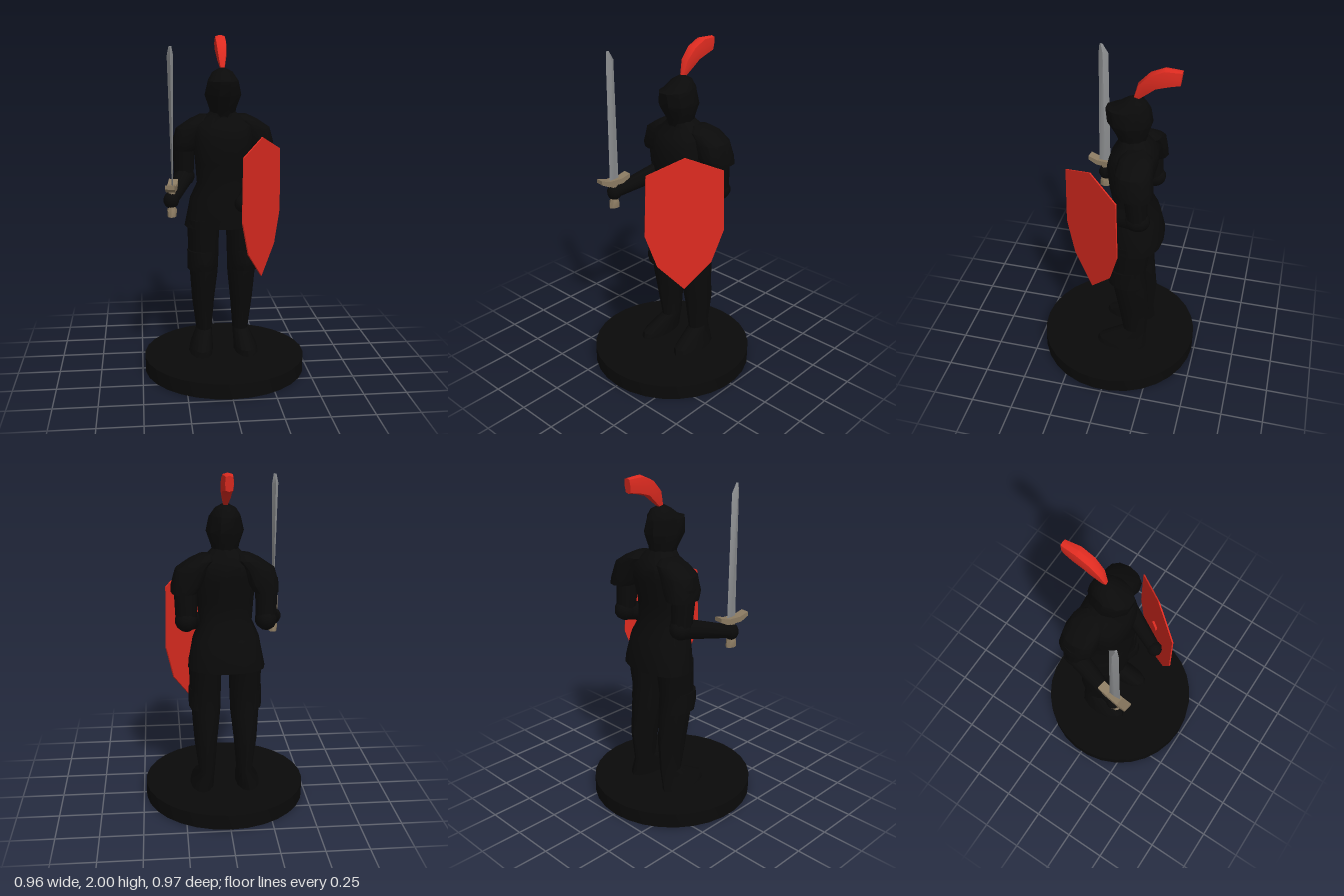
import * as THREE from 'three';
import { toCreasedNormals } from 'three/addons/utils/BufferGeometryUtils.js';

const paint = (name, color) => Object.assign(new THREE.MeshStandardMaterial({ color }), { name });

// Skin over rings given by their extents: [y, x0, x1, z0, z1, tilt]; tilt raises the z1 side.
// A power below 1 makes the rings boxier.
function loft(rings, sides = 12, power = 1) {
  const pos = [], index = [];
  const boxy = v => Math.sign(v) * Math.pow(Math.abs(v) < 1e-9 ? 0 : Math.abs(v), power);
  const add = (y, x0, x1, z0, z1, tilt, c, s) =>
    pos.push((x0 + x1) / 2 + (x1 - x0) / 2 * c, y + tilt / 2 * s, (z0 + z1) / 2 + (z1 - z0) / 2 * s);
  for (const [y, x0, x1, z0, z1, tilt = 0] of rings)
    for (let j = 0; j < sides; j++) {
      const t = j / sides * Math.PI * 2;
      add(y, x0, x1, z0, z1, tilt, boxy(Math.cos(t)), boxy(Math.sin(t)));
    }
  const last = (rings.length - 1) * sides, bottom = rings.length * sides;
  for (const [y, x0, x1, z0, z1] of [rings[0], rings[rings.length - 1]]) add(y, x0, x1, z0, z1, 0, 0, 0);
  for (let j = 0; j < sides; j++) {
    const k = (j + 1) % sides;
    for (let i = 0; i < last; i += sides)
      index.push(i + j, i + sides + j, i + k, i + k, i + sides + j, i + sides + k);
    index.push(bottom, j, k, bottom + 1, last + k, last + j);
  }
  const g = new THREE.BufferGeometry();
  g.setAttribute('position', new THREE.Float32BufferAttribute(pos, 3));
  g.setIndex(index);
  return toCreasedNormals(g, 0.7);
}

// Tapered cylinder between two points
function limb(a, b, ra, rb) {
  const from = new THREE.Vector3(...a), to = new THREE.Vector3(...b), dir = to.clone().sub(from);
  const g = new THREE.CylinderGeometry(rb, ra, dir.length(), 10);
  g.applyQuaternion(new THREE.Quaternion().setFromUnitVectors(new THREE.Vector3(0, 1, 0), dir.normalize()));
  return g.translate(...from.add(to).multiplyScalar(0.5).toArray());
}

const ball = (p, rx, ry, rz) => new THREE.SphereGeometry(1, 10, 7).scale(rx, ry, rz).translate(...p);

// Swap inner/outer extents onto the chosen side
const sided = (rings, s) => rings.map(([y, a, b, ...r]) => s > 0 ? [y, a, b, ...r] : [y, -b, -a, ...r]);

export function createModel() {
  const model = new THREE.Group();
  const black = paint('blackArmour', 0x0a0a0a);
  const red = paint('red', 0xdf2b20);
  const steel = paint('steel', 0x8b8d8f);
  const bronze = paint('bronze', 0x8c7b62);
  const add = (name, geometry, material, parent = model) => {
    const m = new THREE.Mesh(geometry, material);
    m.name = name;
    parent.add(m);
    return m;
  };

  // Round stand, hollow underneath
  const stand = [[0, 0.075], [0.477, 0.075], [0.477, 0], [0.485, 0], [0.485, 0.09], [0, 0.09]];
  add('base', toCreasedNormals(
    new THREE.LatheGeometry(stand.map(([r, y]) => new THREE.Vector2(r, y)), 30), 0.5), black);

  // Body with flared skirt
  add('torso', loft([
    [0.87, -0.23, 0.22, -0.268, 0.045], [0.92, -0.22, 0.215, -0.265, 0.045],
    [1.05, -0.195, 0.19, -0.235, 0.045], [1.14, -0.155, 0.15, -0.19, 0.03],
    [1.26, -0.165, 0.165, -0.185, 0.05], [1.4, -0.18, 0.18, -0.22, 0.065],
    [1.48, -0.17, 0.17, -0.22, 0.04], [1.53, -0.11, 0.11, -0.185, 0],
    [1.57, -0.065, 0.065, -0.15, 0],
  ], 16, 0.85), black);

  // Helmet with visor jutting forward
  add('helmet', loft([
    [1.53, -0.07, 0.07, -0.15, 0], [1.58, -0.08, 0.08, -0.16, 0.02],
    [1.66, -0.108, 0.108, -0.187, 0.07], [1.74, -0.09, 0.09, -0.175, 0.08],
    [1.75, -0.085, 0.085, -0.17, 0.035], [1.79, -0.06, 0.06, -0.145, -0.02],
    [1.815, -0.015, 0.015, -0.1, -0.065],
  ], 10), black);

  // Plume sweeping backwards
  add('plume', loft([
    [1.803, -0.012, 0.012, -0.1, -0.075, 0.005], [1.875, -0.028, 0.028, -0.165, -0.1, 0.05],
    [1.922, -0.033, 0.035, -0.2, -0.16, 0.085], [1.95, -0.033, 0.035, -0.27, -0.24, 0.1],
    [1.952, -0.024, 0.022, -0.325, -0.335, 0.085],
  ], 8, 0.5), red);

  for (const s of [-1, 1]) {
    const side = s > 0 ? 'left' : 'right';
    // Leg and foot in one skin
    add(side + 'Leg', loft(sided([
      [0.085, 0.065, 0.215, -0.205, 0.115], [0.125, 0.065, 0.205, -0.205, 0.105],
      [0.21, 0.065, 0.162, -0.2, -0.05], [0.4, 0.05, 0.187, -0.215, -0.02],
      [0.58, 0.03, 0.2, -0.2, 0.015], [0.72, 0.025, 0.21, -0.19, 0.03],
      [0.92, 0.02, 0.215, -0.22, 0.03],
    ], s)), black);
    // Knee guard
    add(side + 'Knee', loft(sided([
      [0.61, 0.04, 0.217, -0.19, 0.035], [0.66, 0.035, 0.217, -0.185, 0.05],
      [0.73, 0.04, 0.217, -0.18, 0.04],
    ], s)), black);
    // Shoulder plate
    add(side + 'Shoulder', loft(sided([
      [1.33, 0.15, 0.3, -0.24, -0.04], [1.37, 0.12, 0.3, -0.24, -0.02],
      [1.46, 0.08, 0.275, -0.23, -0.02], [1.51, 0.05, 0.2, -0.215, -0.03],
      [1.54, 0.06, 0.14, -0.17, -0.07],
    ], s), 12, 0.85).translate(s > 0 ? 0.012 : 0, 0, 0), black);
    // Bent arm, elbow guard, forearm and fist
    const elbow = [s * 0.228, 1.165, -0.155];
    const hand = s > 0 ? [0.085, 1.06, 0.185] : [-0.318, 1.085, 0.165];
    add(side + 'UpperArm', limb([s * 0.23, 1.4, -0.135], elbow, 0.068, 0.06), black);
    add(side + 'Elbow', ball(elbow, 0.065, 0.065, 0.075), black);
    add(side + 'Forearm', limb(elbow, hand, 0.06, 0.038), black);
    add(side + 'Fist', ball(hand, 0.045, 0.05, 0.045), black);
  }

  // Pointed shield, turned outwards, with a strap behind
  const shield = new THREE.Group();
  shield.name = 'shield';
  shield.position.set(0.208, 0, 0.118);
  shield.rotation.y = 0.94;
  model.add(shield);
  const half = [[0.22, 1.34], [0.23, 0.97], [0.16, 0.77]];
  const outline = [[0, 1.43], ...half, [0, 0.605], ...half.map(([x, y]) => [-x, y]).reverse()];
  const face = new THREE.Shape(outline.map(([x, y]) => new THREE.Vector2(x, y)));
  add('shieldPlate', new THREE.ExtrudeGeometry(face, { depth: 0.008, bevelEnabled: false }).translate(0, 0, -0.004), red, shield);
  add('shieldStrap', new THREE.BoxGeometry(0.05, 0.03, 0.014).translate(0, 1.08, -0.01), red, shield);

  // Upright sword: blade thin at the guard and thicker near the tip
  const sword = new THREE.Group();
  sword.name = 'sword';
  sword.position.set(-0.315, 0, 0.17);
  model.add(sword);
  add('blade', loft([
    [1.17, 0, 0.007, -0.035, 0.035], [1.89, -0.018, 0.018, -0.027, 0.03],
    [1.942, -0.008, 0.008, 0.005, 0.024],
  ], 4), steel, sword);
  const hilt = new THREE.Group();
  hilt.name = 'hilt';
  hilt.rotation.y = -0.15;
  sword.add(hilt);
  add('grip', loft([
    [0.99, -0.025, 0.025, -0.035, 0.035], [1.03, -0.028, 0.028, -0.03, 0.03],
    [1.05, -0.02, 0.02, -0.022, 0.022], [1.16, -0.022, 0.022, -0.022, 0.022],
  ], 8), bronze, hilt);
  // Guard with upswept ends
  const guard = new THREE.Shape();
  [[-0.1, 1.165], [-0.05, 1.14], [0.05, 1.14], [0.1, 1.165], [0.1, 1.19], [0.04, 1.172], [-0.04, 1.172], [-0.1, 1.19]]
    .forEach(([z, y], i) => i ? guard.lineTo(z, y) : guard.moveTo(z, y));
  add('guard', new THREE.ExtrudeGeometry(guard, { depth: 0.054, bevelEnabled: false })
    .translate(0, 0, -0.027).rotateY(-Math.PI / 2), bronze, hilt);

  return model;
}
